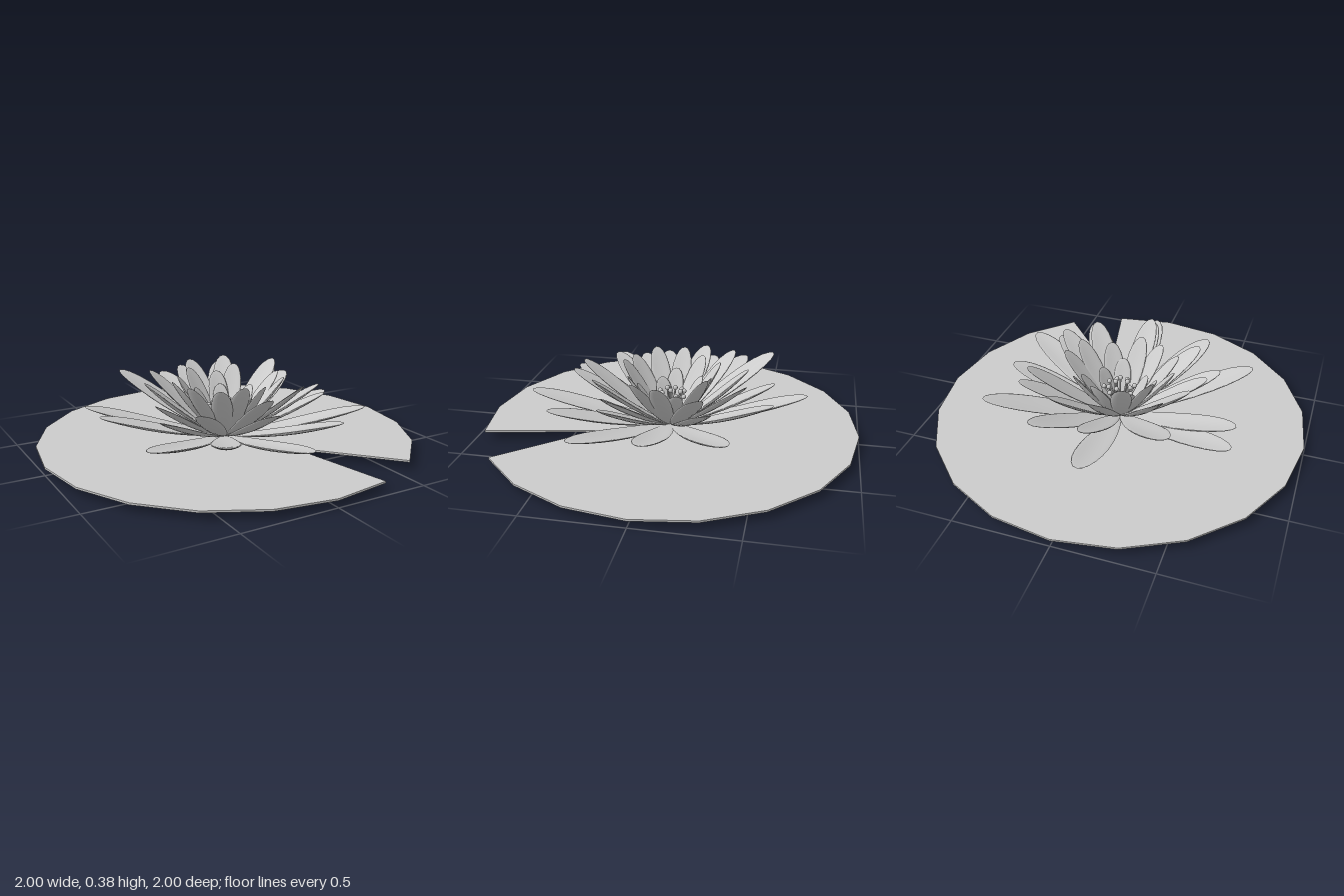
import * as THREE from 'three';

const material = new THREE.MeshStandardMaterial({ color: 0xcccccc, side: THREE.DoubleSide });

// Slim lens tapering to the base, with raised edges; runs from y = 0 to y = length
function petalGeometry(length, width) {
  const g = new THREE.SphereGeometry(1, 16, 12);
  const p = g.attributes.position;
  for (let i = 0; i < p.count; i++) {
    const t = (p.getY(i) + 1) / 2;
    const x = p.getX(i) * (0.66 + 0.5 * t) * 0.9;
    const cup = 0.12 * width * x * x - 0.1 * width * Math.sin(Math.PI * t);
    p.setXYZ(i, x * width / 2, t * length, p.getZ(i) * 0.011 + cup);
  }
  g.computeVertexNormals();
  return g;
}

// Petal reaching from the heart of the flower to a tip point
function makePetal(name, [x, z, y], width) {
  const tip = new THREE.Vector3(x, y, z);
  const base = new THREE.Vector3(x, 0, z).setLength(0.03).setY(0.04);
  const dir = tip.clone().sub(base);
  const length = dir.length();
  dir.normalize();
  const side = new THREE.Vector3().crossVectors(dir, new THREE.Vector3(0, 1, 0)).normalize();
  const normal = new THREE.Vector3().crossVectors(side, dir);
  const mesh = new THREE.Mesh(petalGeometry(length, width), material);
  mesh.name = name;
  mesh.quaternion.setFromRotationMatrix(new THREE.Matrix4().makeBasis(side, dir, normal));
  mesh.position.copy(base);
  return mesh;
}

// Rings of petals: width and tips as [x, z, y]
const rings = [
  { name: 'outerPetal', width: 0.18, tips: [
    [0.63, -0.37, 0.24], [0.64, 0.03, 0.21], [0.65, 0.38, 0.2], [0.35, 0.58, 0.21],
    [0.02, 0.78, 0.18], [-0.34, 0.61, 0.21], [-0.64, 0.43, 0.19], [-0.66, 0.13 - 0.27, 0.2],
    [-0.67, -0.33, 0.21], [-0.39, -0.51, 0.34], [-0.03, -0.72, 0.24], [0.28, -0.56, 0.3]] },
  { name: 'middlePetal', width: 0.15, tips: [
    [0.01, -0.55, 0.31], [0.23, -0.42, 0.37], [0.47, -0.26, 0.31], [0.44, -0.21, 0.37],
    [0.45, 0.28, 0.28], [0.42, 0.27, 0.33], [0.26, 0.36, 0.36], [-0.03, 0.55, 0.3],
    [-0.03, 0.49, 0.36], [-0.34, 0.38, 0.3], [-0.49, 0.25, 0.25], [-0.45, 0.1, 0.29],
    [-0.41, -0.13, 0.35], [-0.3, -0.3, 0.37], [0, -0.41, 0.375]] },
  { name: 'innerPetal', width: 0.13, tips: [
    [-0.09, -0.25, 0.37], [0.07, -0.22, 0.34], [0.18, -0.21, 0.37], [0.32, 0.02, 0.36],
    [0.28, 0.15, 0.36], [0.12, 0.21, 0.34], [-0.04, 0.27, 0.37], [-0.16, 0.24, 0.36],
    [-0.28, 0.14, 0.37], [-0.3, -0.02, 0.37], [-0.21, -0.14, 0.36]] },
  { name: 'heartPetal', width: 0.11, tips: [
    [-0.13, 0.08, 0.25], [-0.2, 0.01, 0.28], [0.04, 0.18, 0.27], [0.13, 0.07, 0.26],
    [0.2, -0.06, 0.28], [-0.1, -0.15, 0.28], [0.06, -0.16, 0.28]] },
];

// Leaf pad: twenty-sided disc with one segment cut in to a notch
function makePad() {
  const points = [];
  for (let i = 0; i < 20; i++) {
    const a = (36 + i * 18) * Math.PI / 180;
    points.push(new THREE.Vector2(Math.sin(a), -Math.cos(a)));
  }
  points.push(new THREE.Vector2(0.19, -0.37));
  const g = new THREE.ExtrudeGeometry(new THREE.Shape(points), { depth: 0.01, bevelEnabled: false });
  g.rotateX(-Math.PI / 2).translate(0, 0.034, 0);
  const pad = new THREE.Mesh(g, material);
  pad.name = 'lilyPad';
  return pad;
}

// Stamens: thin curved stalks with round tips, rooted just below the pad
function makeStamens(count) {
  const group = new THREE.Group();
  group.name = 'stamens';
  for (let i = 0; i < count; i++) {
    const a = i * 2.4;
    const r = 0.025 + 0.065 * Math.sqrt(i / count);
    const x = Math.cos(a), z = Math.sin(a);
    const top = new THREE.Vector3(x * r, 0.25 - r * 0.5, z * r);
    const curve = new THREE.CatmullRomCurve3([
      new THREE.Vector3(x * 0.035, 0, z * 0.018),
      new THREE.Vector3(x * 0.035, 0.11, z * 0.025), top]);
    const stalk = new THREE.Mesh(new THREE.TubeGeometry(curve, 8, 0.005, 6), material);
    stalk.name = 'stamenStalk';
    const ball = new THREE.Mesh(new THREE.SphereGeometry(0.013, 10, 8), material);
    ball.name = 'stamenTip';
    ball.position.copy(top);
    group.add(stalk, ball);
  }
  return group;
}

export function createModel() {
  const model = new THREE.Group();
  model.name = 'waterLily';
  const flower = new THREE.Group();
  flower.name = 'flower';
  for (const { name, width, tips } of rings)
    for (const tip of tips) flower.add(makePetal(name, tip, width));
  model.add(makePad(), flower, makeStamens(14));
  return model;
}
